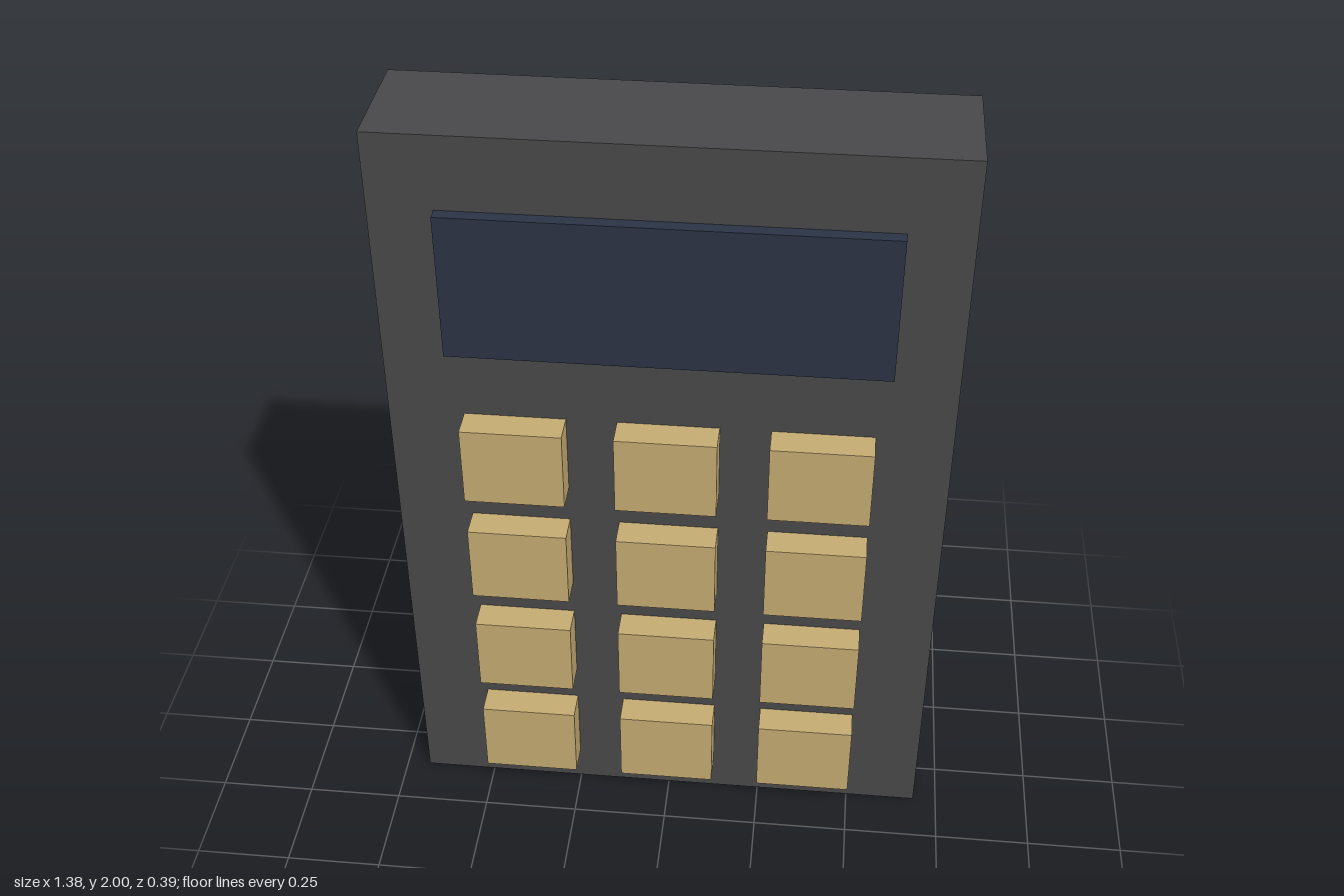
import * as THREE from 'three';

const material = (name, color) => {
  const m = new THREE.MeshStandardMaterial({ color });
  m.name = name;
  return m;
};

export function createModel() {
  const group = new THREE.Group();
  group.name = 'calculator';
  const casing = material('charcoal', 0x4a4a4c);
  const glass = material('darkNavy', 0x2c3446);
  const tan = material('tan', 0xc8ae74);

  const backZ = -0.195;
  const faceZ = 0.1175;

  // Box placed by its centre in x and y and by its back and front in z
  function addBox(name, mat, w, h, z0, z1, x, y, parent = group) {
    const mesh = new THREE.Mesh(new THREE.BoxGeometry(w, h, z1 - z0), mat);
    mesh.name = name;
    mesh.position.set(x, y, (z0 + z1) / 2);
    parent.add(mesh);
  }

  // Slab body and raised display
  addBox('body', casing, 1.375, 2, backZ, faceZ, 0, 1);
  addBox('screen', glass, 1.0625, 0.375, faceZ - 0.02, 0.15, 0, 1.625);

  // Keypad: four rows of three keys
  const keypad = new THREE.Group();
  keypad.name = 'keypad';
  group.add(keypad);
  for (let row = 0; row < 4; row++) {
    for (let col = 0; col < 3; col++) {
      addBox(`key${row * 3 + col + 1}`, tan, 0.25, 0.2125, faceZ - 0.02, 0.195,
        (col - 1) * 0.375, 1.144 - row * 0.3125, keypad);
    }
  }
  return group;
}
